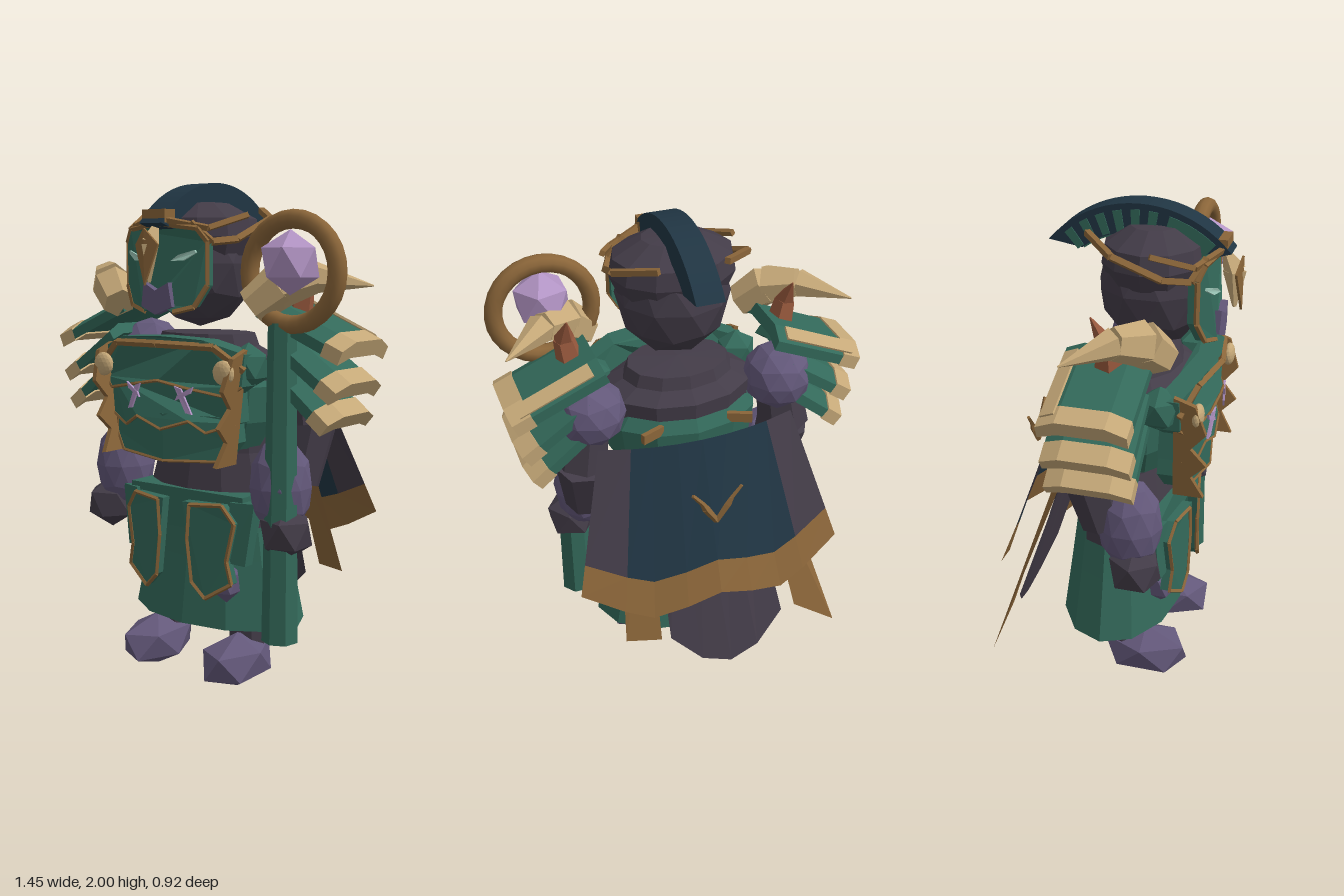
import * as THREE from 'three';
import { mergeGeometries } from 'three/addons/utils/BufferGeometryUtils.js';

const V = (x, y, z) => new THREE.Vector3(x, y, z);

export function createModel() {
  const model = new THREE.Group();
  const mat = (name, color, side = THREE.FrontSide) => {
    const m = new THREE.MeshStandardMaterial({ color, side });
    m.name = name;
    return m;
  };
  const green = mat('green armour', 0x33695a);
  const navy = mat('navy cloth', 0x203543, THREE.DoubleSide);
  const plum = mat('dark plum', 0x433c48, THREE.DoubleSide);
  const purple = mat('purple skin', 0x63587a);
  const bronze = mat('bronze trim', 0x8a6539, THREE.DoubleSide);
  const bone = mat('bone', 0xc5a878);
  const lilac = mat('lilac crystal', 0xb294c4);
  const rust = mat('rust', 0x9a5a3e);
  const pale = mat('pale eye', 0x9fcabb);

  // Faceted normals for angular parts
  const facet = (g) => {
    const out = g.index ? g.toNonIndexed() : g;
    out.computeVertexNormals();
    return out;
  };
  const add = (name, m, geo, smooth = false) => {
    const mesh = new THREE.Mesh(smooth ? geo : facet(geo), m);
    mesh.name = name;
    model.add(mesh);
  };
  // Adds a part at +x and its mirror image at -x
  const both = (name, m, geo) => {
    const g = facet(geo), f = g.clone().scale(-1, 1, 1), p = f.attributes.position;
    for (let i = 0; i < p.count; i += 3) {
      const a = V().fromBufferAttribute(p, i), b = V().fromBufferAttribute(p, i + 1);
      p.setXYZ(i, b.x, b.y, b.z);
      p.setXYZ(i + 1, a.x, a.y, a.z);
    }
    add(name + 'Left', m, g);
    add(name + 'Right', m, f);
  };
  const lathe = (pts, sx, sz, z, n = 12) => new THREE.LatheGeometry(
    pts.map(([r, y]) => new THREE.Vector2(r, y)), n).scale(sx, 1, sz).translate(0, 0, z);
  // Faceted ball standing on one corner
  const ball = (d, sx, sy, sz, x, y, z) => new THREE.IcosahedronGeometry(1, d)
    .rotateX(-1.0172).rotateY(Math.PI / 2).scale(sx, sy, sz).translate(x, y, z);
  // Chain of straight bars, with one radius or one per point
  const bars = (pts, r, sides = 4) => mergeGeometries(pts.slice(1).map((q, i) => {
    const a = V(...pts[i]), d = V(...q).sub(a), R = (k) => (Array.isArray(r) ? r[k] : r);
    const g = new THREE.CylinderGeometry(R(i + 1), R(i), d.length(), sides);
    g.applyQuaternion(new THREE.Quaternion().setFromUnitVectors(V(0, 1, 0), d.clone().normalize()));
    return g.translate(...a.addScaledVector(d, 0.5).toArray());
  }));
  const shapeOf = (pts) => new THREE.Shape(pts.map(([x, y]) => new THREE.Vector2(x, y)));
  // Flat plate bent backwards away from the middle
  const plate = (pts, z, depth, k) => {
    const g = new THREE.ExtrudeGeometry(shapeOf(pts), { depth, bevelEnabled: false });
    const p = g.attributes.position;
    for (let i = 0; i < p.count; i++) p.setZ(i, p.getZ(i) + z - depth - k * p.getX(i) ** 2);
    return g;
  };
  const mirrorPts = (half) => [...half,
    ...half.filter((p) => p[0] > 0).reverse().map(([x, y]) => [-x, y])];
  const onPlate = (pts, z, k) => pts.map(([x, y]) => [x, y, z - k * x * x]);

  // Body, robe and legs
  add('waist', plum, lathe([[0.32, 0.66], [0.31, 0.78], [0.26, 0.95], [0.26, 1.1]], 1, 0.63, 0.015));
  add('vest', green, lathe([[0.24, 0.97], [0.3, 1.08], [0.32, 1.22], [0.28, 1.27]], 1, 0.72, 0.05));
  add('collar', plum, lathe([[0.3, 1.24], [0.31, 1.33], [0.23, 1.37], [0.21, 1.42], [0, 1.43]], 0.98, 0.71, 0.07));
  add('robe', green, lathe([[0, 0.27], [0.4, 0.25], [0.34, 0.52], [0.28, 0.8], [0, 0.8]], 1, 0.62, 0));
  both('leg', plum, new THREE.CylinderGeometry(0.085, 0.075, 0.25, 8).translate(0.2, 0.24, 0.06));
  both('foot', purple, ball(0, 0.128, 0.112, 0.2, 0.21, 0.116, 0.15));
  both('knee', purple, ball(0, 0.06, 0.085, 0.06, 0.2, 0.45, 0.21));

  // Layered chest armour with bronze lower edges
  const K = 0.7;
  const layers = [
    [[[0, 1.42], [0.2, 1.41], [0.35, 1.36], [0.34, 1.24], [0.29, 1.2], [0.12, 1.23], [0, 1.25]], 0.385],
    [[[0, 1.27], [0.3, 1.24], [0.31, 1.1], [0.2, 1.06], [0.13, 1.1], [0, 1.06]], 0.37],
    [[[0, 1.12], [0.28, 1.12], [0.29, 1.02], [0.24, 0.95], [0, 0.935]], 0.355],
  ];
  layers.forEach(([half, z], i) => {
    add('chestPlate' + i, green, plate(mirrorPts(half).reverse(), z, 0.09, K));
    both('chestEdge' + i, bronze, bars(onPlate(half.slice(-4), z, K), 0.0065));
  });
  both('chestTopTrim', bronze, bars(onPlate([[0, 1.39], [0.24, 1.385], [0.35, 1.3]], 0.388, K), 0.015));
  // Toothed bronze rim along each side of the chest
  const teeth = [[0.28, 1.38], [0.27, 0.94], [0.39, 0.94], [0.34, 1.03], [0.4, 1.09], [0.34, 1.16], [0.4, 1.23], [0.36, 1.35]];
  both('chestSideRim', bronze, new THREE.ExtrudeGeometry(shapeOf(teeth), { depth: 0.02, bevelEnabled: false })
    .rotateY(-Math.PI / 2).translate(0.01, -1.16, 0).rotateZ(-0.13).translate(0.31, 1.16, 0));
  both('chestBoss', bone, ball(2, 0.047, 0.047, 0.024, 0.3, 1.295, 0.362));
  // Crossed strokes on the chest
  both('chestRuneLong', lilac, plate([[0.085, 1.235], [0.135, 1.135], [0.16, 1.13], [0.115, 1.225]], 0.395, 0.009, K));
  both('chestRuneShort', lilac, plate([[0.09, 1.18], [0.1, 1.2], [0.165, 1.235], [0.155, 1.21]].reverse(), 0.396, 0.009, K));
  both('shoulderStrap', green, ball(0, 0.09, 0.09, 0.09, 0.31, 1.31, 0.22));
  both('backBuckle', bronze, new THREE.BoxGeometry(0.1, 0.04, 0.02).rotateY(0.4).translate(0.18, 1.24, -0.155));

  // Hip panels with bronze borders
  const hip = [[0.05, 0.77], [0.09, 0.45], [0.15, 0.39], [0.26, 0.46], [0.24, 0.55], [0.27, 0.7], [0.22, 0.77]];
  both('hipPanel', green, plate([...hip].reverse(), 0.3, 0.04, 0.6));
  both('hipBorder', bronze, bars(onPlate([hip[6], hip[5], hip[4], hip[3], hip[2], hip[1], [0.07, 0.62], [0.08, 0.76], hip[6]], 0.3, 0.6), 0.009));
  both('sidePanel', green, plate([[0.22, 0.54], [0.3, 0.53], [0.335, 0.78], [0.24, 0.78]], 0.27, 0.05, 0.5));
  add('beltPanel', green, plate([[-0.28, 0.64], [0.28, 0.64], [0.285, 0.8], [-0.285, 0.8]], 0.27, 0.16, 0.6));

  // Arms
  both('shoulder', purple, ball(1, 0.14, 0.14, 0.14, 0.39, 1.32, -0.03));
  both('upperArm', plum, bars([[0.4, 1.28, -0.02], [0.43, 1.08, -0.025], [0.41, 0.85, 0.03]], [0.09, 0.108, 0.09], 7));
  both('forearm', purple, ball(1, 0.122, 0.19, 0.13, 0.4, 0.85, 0.13));
  both('hand', plum, ball(0, 0.112, 0.11, 0.112, 0.45, 0.68, 0.165));

  // Three arched shoulder plates on each side, tipped with bone
  const arch = (t) => shapeOf([[-0.165, -0.05 - t], [-0.09, -0.025 - t], [0.09, -0.025 - t], [0.165, -0.05 - t],
    [0.165, t - 0.01], [0.09, 0.025 + t], [-0.09, 0.025 + t], [-0.165, t - 0.01]]);
  const slab = (t, a, dir, from, to) => {
    const g = new THREE.ExtrudeGeometry(arch(t), { depth: to - from, bevelEnabled: false }).translate(0, 0, from);
    const m = new THREE.Matrix4().makeBasis(V(0, 0, -1), V(-dir.y, dir.x, 0), dir);
    return g.applyMatrix4(m.setPosition(a));
  };
  [[0.35, 1.54, 0.71, 1.385], [0.42, 1.42, 0.685, 1.235], [0.43, 1.3, 0.655, 1.115]].forEach(([ax, ay, bx, by], i) => {
    const a = V(ax, ay, 0.04), d = V(bx, by, 0.04).sub(a), L = d.length();
    d.normalize();
    both('shoulderPlate' + i, green, slab(0, a, d, 0, L - 0.08));
    both('shoulderPlateTip' + i, bone, slab(0.007, a, d, L - 0.08, L));
    if (i === 0) both('shoulderPlateRim', bone, new THREE.BoxGeometry(L - 0.08, 0.009, 0.06)
      .rotateX(-0.44).rotateZ(Math.atan2(d.y, d.x)).translate((ax + bx) / 2 + 0.005, (ay + by) / 2 + 0.016, -0.09));
  });
  both('shoulderHorn', bone, bars([[0.33, 1.53, 0.23], [0.42, 1.61, 0.18], [0.52, 1.64, 0.1], [0.69, 1.61, -0.04]],
    [0.07, 0.085, 0.06, 0.003], 6));
  both('shoulderThorn', rust, bars([[0.43, 1.5, 0.06], [0.45, 1.6, 0.06], [0.45, 1.7, 0]], [0.055, 0.042, 0.003], 5));

  // Head, helm and crest
  add('head', plum, ball(1, 0.225, 0.245, 0.22, 0, 1.69, 0.12));
  add('helm', plum, lathe([[0.22, 1.72], [0.25, 1.79], [0.235, 1.86], [0.12, 1.92], [0, 1.93]], 1, 0.82, 0.12));
  const crestArc = (r0, r1, a0, a1, b0, b1, x, w) => {
    const s = new THREE.Shape();
    s.absarc(0, 0, r1, a0, a1, false);
    s.absarc(0, 0, r0, b1, b0, true);
    return new THREE.ExtrudeGeometry(s, { depth: w, bevelEnabled: false, curveSegments: 10 })
      .translate(0, 0, -w / 2).rotateY(-Math.PI / 2).translate(x, 1.537, 0.065);
  };
  const PI = Math.PI;
  add('crest', navy, crestArc(0.355, 0.463, 0.71, PI - 0.71, 0.85, PI - 0.908, 0, 0.11));
  add('crestLining', green, crestArc(0.349, 0.355, 0.86, PI - 0.92, 0.86, PI - 0.92, 0, 0.1));
  // Painted ribs along the crest's right flank
  add('crestFlank', green, crestArc(0.36, 0.44, 0.85, 1.3, 0.85, 1.3, -0.056, 0.006));
  for (let a = 1.4; a < 2.25; a += 0.16)
    add('crestRib', green, crestArc(0.36, 0.44, a, a + 0.08, a, a + 0.08, -0.056, 0.006));
  add('browBlock', bronze, new THREE.BoxGeometry(0.11, 0.05, 0.06).translate(0, 1.865, 0.37));
  both('helmBand', bronze, bars([[0.13, 1.84, 0.34], [0.2, 1.77, 0.3], [0.24, 1.78, 0.2], [0.265, 1.86, 0.02], [0.13, 1.9, -0.11]], 0.016));
  both('helmWing', bronze, bars([[0.05, 1.85, 0.38], [0.19, 1.82, 0.31], [0.26, 1.87, 0.16]], 0.014));

  // Floating face mask
  const mask = [[0, 1.84], [0.16, 1.82], [0.195, 1.77], [0.195, 1.61], [0.15, 1.53], [0.07, 1.51], [0, 1.54]];
  add('mask', green, plate(mirrorPts(mask).reverse(), 0.385, 0.04, 1.5));
  both('maskBorder', bronze, bars(onPlate(mask.slice(0, 6), 0.38, 1.5), 0.011));
  add('mouth', purple, plate([[0, 1.5], [0.075, 1.53], [0.06, 1.62], [0, 1.59], [-0.06, 1.62], [-0.075, 1.53]], 0.395, 0.03, 1.5));
  both('eye', pale, plate([[0.07, 1.7], [0.12, 1.702], [0.165, 1.73], [0.16, 1.74], [0.1, 1.722]], 0.393, 0.009, 1.5));
  add('beak', bone, bars([[0, 1.82, 0.39], [0, 1.76, 0.42], [0, 1.62, 0.425]], [0.02, 0.045, 0.008]));
  add('beakFront', bronze, plate([[0, 1.61], [0.055, 1.76], [0, 1.82], [-0.055, 1.76]], 0.455, 0.009, 5));

  // Staff with ring and crystal
  add('staff', green, new THREE.CylinderGeometry(0.055, 0.072, 1.22, 7).translate(0.44, 0.865, 0.185));
  add('staffRing', bronze, new THREE.TorusGeometry(0.19, 0.035, 10, 28).translate(0.49, 1.66, 0.2), true);
  add('staffCrystal', lilac, ball(0, 0.118, 0.118, 0.118, 0.49, 1.695, 0.215));

  // Cape cloth: a grid between two functions of u across and v down
  const sheet = (f, us, v0, v1) => {
    const pos = [];
    for (let i = 0; i + 1 < us.length; i++) {
      const [a, b, c, d] = [f(us[i], v0), f(us[i + 1], v0), f(us[i + 1], v1), f(us[i], v1)];
      pos.push(...a, ...b, ...c, ...a, ...c, ...d);
    }
    return new THREE.BufferGeometry().setAttribute('position', new THREE.Float32BufferAttribute(pos, 3));
  };
  const mix = THREE.MathUtils.lerp;
  const upper = (u, v) => {
    const e = u * u, hem = 0.62 + 0.06 * e - 0.09 * Math.sin(PI * Math.abs(u)) ** 2;
    return [u * mix(0.4, 0.55, v), mix(1.22, hem, v), mix(-0.225 + 0.07 * e, -0.455 + 0.105 * e, v)];
  };
  const inner = [-0.7, -0.5, -0.25, 0, 0.25, 0.5, 0.7];
  add('capeCentre', navy, sheet(upper, inner, 0, 0.78));
  add('capeSideRight', plum, sheet(upper, [-1, -0.7], 0, 0.78));
  add('capeSideLeft', plum, sheet(upper, [0.7, 1], 0, 0.78));
  add('capeHem', bronze, sheet(upper, [-1, ...inner, 1], 0.78, 1));
  const tail = (x0, x1, y1, z0, z1) => (u, v) =>
    [mix(x0(u), x1(u), v), mix(1.05, y1(u), v), mix(z0(u), z1(u), v)];
  add('tailCentre', plum, sheet(tail((u) => u * 0.2, (u) => u * 0.25 - 0.06, (u) => 0.19 + 0.16 * u * u,
    (u) => -0.19 + 0.04 * u * u, (u) => -0.44 + 0.06 * u * u), [-1, -0.5, 0, 0.5, 1], 0, 1));
  add('tailStripRight', bronze, sheet(tail((u) => -0.25 - u * 0.08, (u) => -0.37 - u * 0.18, (u) => 0.36 - u * 0.12,
    (u) => -0.17 + 0.04 * u, (u) => -0.38 - 0.03 * u), [0, 1], 0, 1));
  add('tailStripLeft', bronze, sheet(tail((u) => 0.22 + u * 0.1, (u) => 0.24 + u * 0.14, () => 0.39,
    (u) => -0.17 + 0.04 * u, (u) => -0.41 + 0.04 * u), [0, 1], 0, 1));
  both('capeClasp', bronze, bars([[0, 0.94, -0.385], [0.045, 1.01, -0.385], [0.06, 1.04, -0.385], [0.1, 1.09, -0.385]], [0.012, 0.016, 0.01, 0.008]));

  return model;
}
